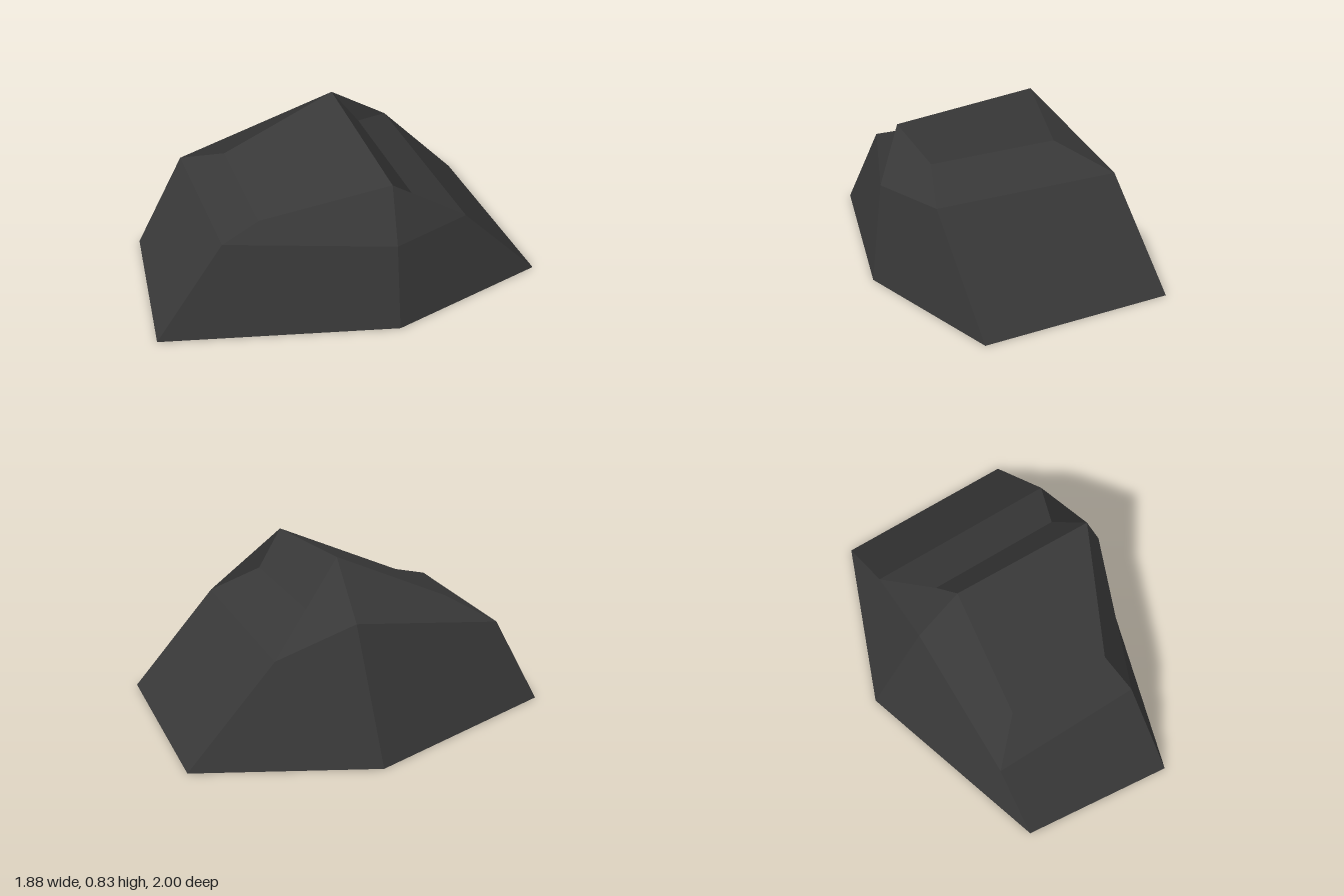
import * as THREE from 'three';

// Adds quads split along their first diagonal, each with one flat outward normal
function facetMesh(name, quads, material) {
  const positions = [], normals = [];
  for (const quad of quads) {
    let [a, b, c, d] = quad.map((p) => new THREE.Vector3(...p));
    const normal = c.clone().sub(a).cross(d.clone().sub(b)).normalize();
    // Every facet of the open shell leans upward
    if (normal.y < 0) {
      [b, d] = [d, b];
      normal.negate();
    }
    for (const p of [a, b, c, a, c, d]) {
      positions.push(p.x, p.y, p.z);
      normals.push(normal.x, normal.y, normal.z);
    }
  }
  const geometry = new THREE.BufferGeometry();
  geometry.setAttribute('position', new THREE.Float32BufferAttribute(positions, 3));
  geometry.setAttribute('normal', new THREE.Float32BufferAttribute(normals, 3));
  const mesh = new THREE.Mesh(geometry, material);
  mesh.name = name;
  return mesh;
}

export function createModel() {
  const group = new THREE.Group();
  group.name = 'rock';
  const stone = new THREE.MeshStandardMaterial({ color: 0x383838, side: THREE.DoubleSide });
  stone.name = 'dark stone';

  // Six-cornered outline on the ground
  const base = [
    [0.18, 0, -1], [0.94, 0, -0.41], [0.56, 0, 0.33],
    [-0.39, 0, 1], [-0.94, 0, 0.46], [-0.57, 0, -0.54],
  ];
  // Shoulder ring, corner for corner with the base
  const ring = [
    [-0.08, 0.47, -0.66], [0.68, 0.47, -0.07], [0.51, 0.47, 0.3],
    [-0.19, 0.47, 0.7], [-0.78, 0.47, 0.245], [-0.32, 0.58, -0.34],
  ];
  const [backTip, leftTip, leftEnd, frontTip, rightTip, rightEnd] = ring;

  // Ridge ends and the corners of the broken bevels below them
  const peak = [-0.14, 0.83, -0.2];
  const lowPeak = [0.44, 0.755, 0.24];
  const frontBevelR = [-0.52, 0.57, 0.21];
  const frontBevelL = [-0.1, 0.53, 0.53];
  const backBevelL = [0.46, 0.59, 0.06];
  const backBevelR = [-0.07, 0.6, -0.35];

  // Sloping sides, open underneath
  const sides = base.map((p, i) => {
    const j = (i + 1) % base.length;
    return [p, ring[i], ring[j], base[j]];
  });
  group.add(facetMesh('sides', sides, stone));

  // Two roof slopes and the bevels at their feet
  group.add(facetMesh('roofSlopes', [
    [frontBevelR, frontBevelL, lowPeak, peak],
    [peak, lowPeak, backBevelL, backBevelR],
  ], stone));
  group.add(facetMesh('bevels', [
    [rightTip, frontTip, frontBevelL, frontBevelR],
    [backBevelR, backBevelL, leftTip, backTip],
  ], stone));

  // Facets closing the two ends of the ridge
  group.add(facetMesh('endFacets', [
    [peak, frontBevelR, rightTip, rightEnd],
    [peak, backBevelR, backTip, rightEnd],
    [lowPeak, backBevelL, leftTip, leftEnd],
    [frontBevelL, lowPeak, leftEnd, frontTip],
  ], stone));

  return group;
}
